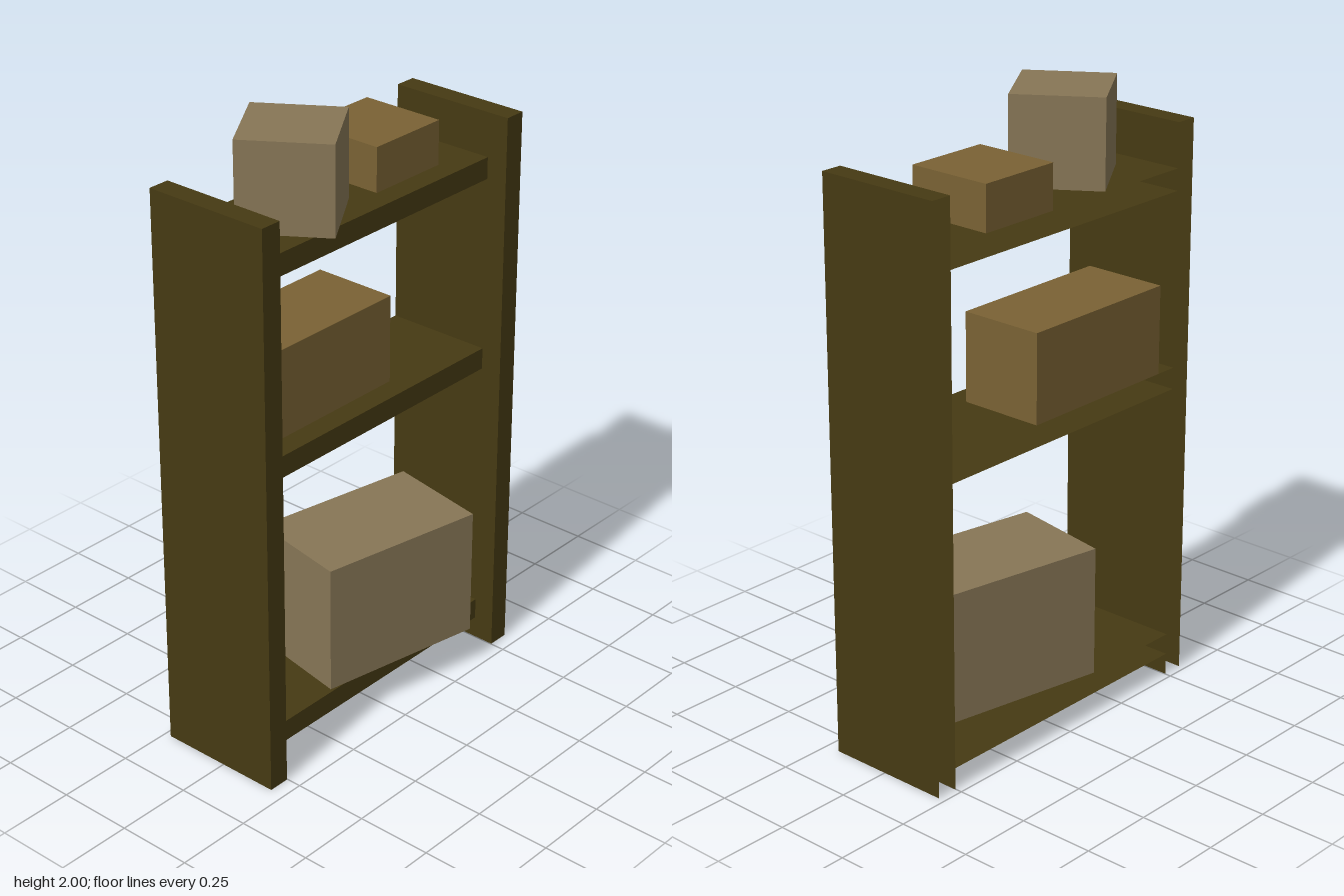
import * as THREE from 'three';

const paint = (color) => new THREE.MeshStandardMaterial({ color, side: THREE.DoubleSide, flatShading: true });

// Order of the sides in a BoxGeometry
const SIDES = ['+x', '-x', '+y', '-y', '+z', '-z'];

// Box between two limits on each axis, leaving out the named sides
function openBox(name, [x0, x1], [y0, y1], [z0, z1], material, missing, turn = 0) {
  const geometry = new THREE.BoxGeometry(x1 - x0, y1 - y0, z1 - z0);
  const index = Array.from(geometry.index.array);
  geometry.setIndex(index.filter((_, i) => !missing.includes(SIDES[Math.floor(i / 6)])));
  geometry.clearGroups();
  const mesh = new THREE.Mesh(geometry, material);
  mesh.name = name;
  mesh.position.set((x0 + x1) / 2, (y0 + y1) / 2, (z0 + z1) / 2);
  mesh.rotation.y = turn;
  return mesh;
}

export function createModel() {
  const model = new THREE.Group();
  model.name = 'shelfUnit';
  const wood = paint(0x463a13);
  const brownCard = paint(0x7a6234);
  const paleCard = paint(0x877656);

  // Upright end panels, open at the wall side and underneath
  for (const s of [-1, 1]) {
    const z = s > 0 ? [0.502, 0.573] : [-0.573, -0.502];
    model.add(openBox(s > 0 ? 'frontPanel' : 'backPanel', [-0.228, 0.2], [0, 1.86], z, wood, ['-x', '-y']));
  }

  // Three shelves, recessed from the panel edge and open at the wall side
  [['lowerShelf', 0.073], ['middleShelf', 1.0], ['upperShelf', 1.645]].forEach(([name, y]) =>
    model.add(openBox(name, [-0.228, 0.129], [y, y + 0.071], [-0.502, 0.502], wood, ['-x', '+z', '-z'])));

  // Cardboard boxes without undersides
  model.add(
    openBox('largeBox', [-0.175, 0.176], [0.144, 0.574], [-0.389, 0.179], paleCard, ['-y'], -0.192),
    openBox('middleBox', [-0.228, 0.055], [1.071, 1.36], [-0.14, 0.43], brownCard, ['-y']),
    openBox('smallBox', [-0.228, 0.055], [1.716, 1.86], [-0.357, -0.073], brownCard, ['-y']),
    openBox('cubeBox', [-0.164, 0.124], [1.716, 2.0], [0.066, 0.354], paleCard, ['-y'], 0.588),
  );
  return model;
}
